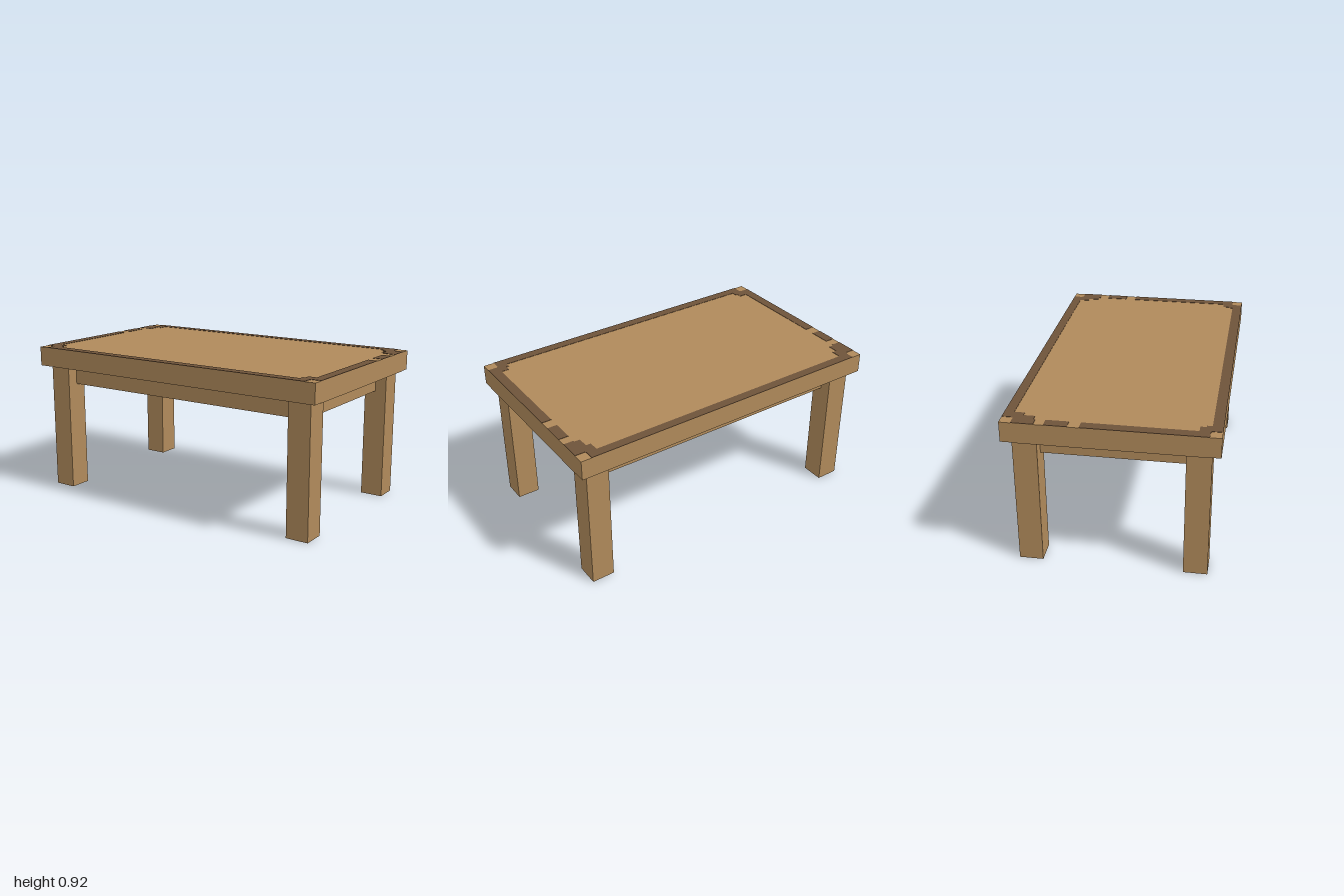
import * as THREE from 'three';

export function createModel() {
  const model = new THREE.Group();
  model.name = 'table';

  const wood = new THREE.MeshStandardMaterial({ color: 0xb08a5b });
  wood.name = 'light wood';
  const dark = new THREE.MeshStandardMaterial({ color: 0x6e533a });
  dark.name = 'dark wood';
  // Box sides in order +x, -x, +y, -y, +z, -z: only the underside is dark
  const darkBelow = [wood, wood, wood, dark, wood, wood];

  function box(name, x0, x1, y0, y1, z0, z1, material) {
    const mesh = new THREE.Mesh(new THREE.BoxGeometry(x1 - x0, y1 - y0, z1 - z0), material);
    mesh.position.set((x0 + x1) / 2, (y0 + y1) / 2, (z0 + z1) / 2);
    mesh.name = name;
    model.add(mesh);
  }

  // Tabletop slab and the solid apron beneath it
  box('tabletop', -1, 1, 0.8, 0.92, -0.6, 0.6, darkBelow);
  box('apron', -0.88, 0.88, 0.68, 0.8, -0.48, 0.48, darkBelow);

  // Square legs
  for (const sx of [-1, 1]) {
    for (const sz of [-1, 1]) {
      const x = sx * 0.88, z = sz * 0.48;
      box('leg', x - 0.07, x + 0.07, 0, 0.8, z - 0.07, z + 0.07, darkBelow);
    }
  }

  // Dark border inlay along the front and back, leaving light corner squares
  const low = 0.919, high = 0.922;
  box('backBorder', -0.935, 0.935, low, high, -0.6, -0.545, dark);
  box('frontBorder', -0.935, 0.935, low, high, 0.54, 0.6, dark);

  // Side border pieces and stepped corner notches: [x0, x1, z0, z1], mirrored
  const pieces = [
    [0.94, 1, -0.535, -0.41],
    [0.94, 1, -0.355, -0.225],
    [0.94, 1, -0.16, 0.535],
    [0.875, 0.94, -0.545, -0.485],
    [0.905, 0.94, -0.485, -0.42],
    [0.875, 0.94, 0.51, 0.54],
    [0.89, 0.94, 0.475, 0.51],
  ];
  for (const [x0, x1, z0, z1] of pieces) {
    box('leftBorder', x0, x1, low, high, z0, z1, dark);
    box('rightBorder', -x1, -x0, low, high, z0, z1, dark);
  }

  // Light strips on the underside of both end overhangs
  box('leftUnderStrip', 0.88, 1, 0.798, 0.801, -0.53, 0.53, wood);
  box('rightUnderStrip', -1, -0.88, 0.798, 0.801, -0.53, 0.53, wood);

  return model;
}
